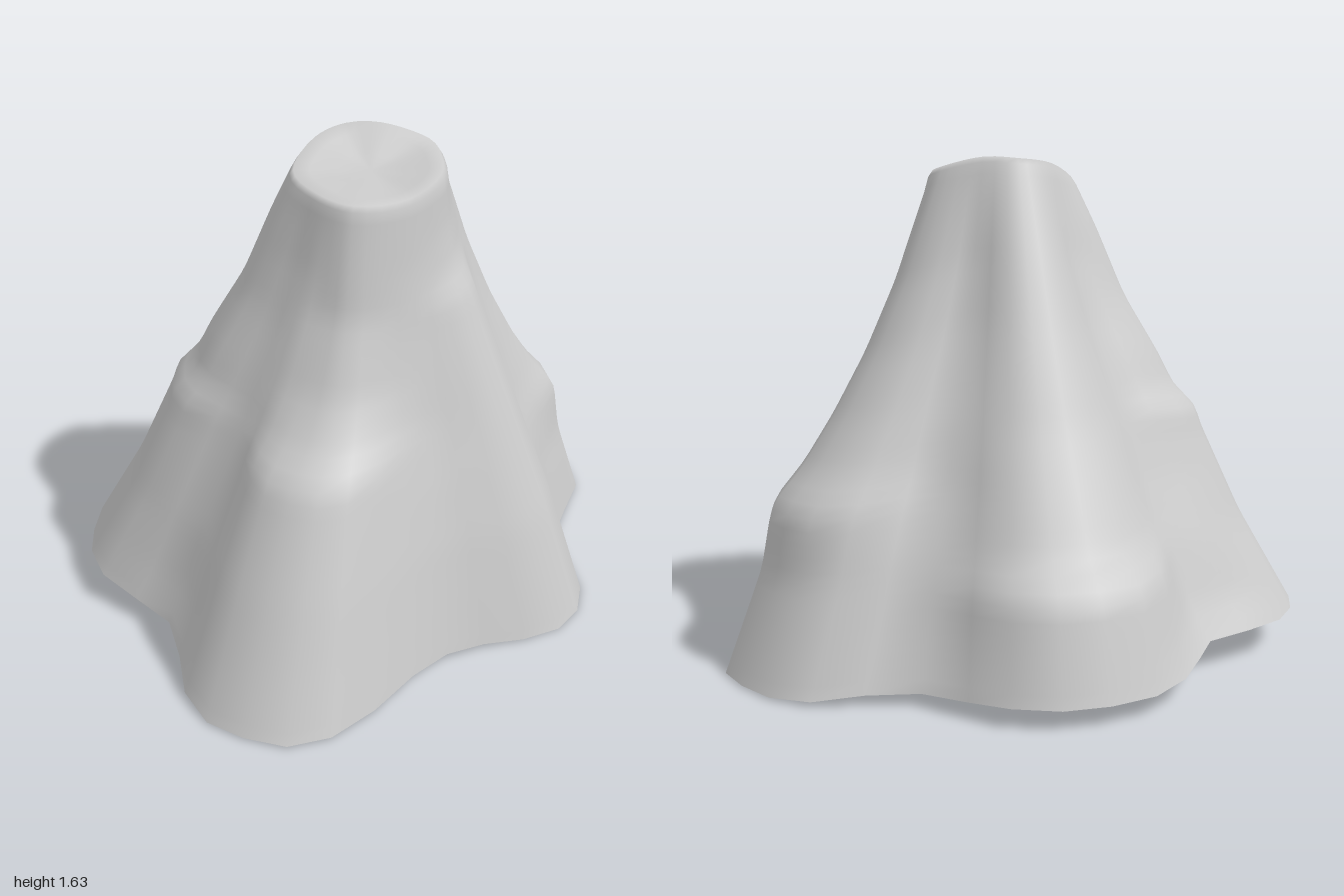
import * as THREE from 'three';

// Foot outline [x, z], clockwise from the back as seen from above
const FOOT = [
  [-0.18, -1], [-0.03, -0.99], [0.1, -0.92], [0.25, -0.83], [0.42, -0.835], [0.58, -0.86], [0.72, -0.8], [0.83, -0.7],
  [0.91, -0.59], [0.93, -0.45], [0.86, -0.28], [0.8, -0.12], [0.82, 0.04], [0.85, 0.2], [0.82, 0.33], [0.74, 0.43],
  [0.61, 0.49], [0.47, 0.53], [0.34, 0.59], [0.22, 0.69], [0.09, 0.84], [-0.05, 0.96], [-0.19, 1], [-0.33, 0.96],
  [-0.45, 0.89], [-0.53, 0.77], [-0.56, 0.62], [-0.61, 0.46], [-0.73, 0.36], [-0.86, 0.26], [-0.92, 0.13], [-0.93, 0],
  [-0.92, -0.14], [-0.87, -0.27], [-0.76, -0.36], [-0.63, -0.46], [-0.59, -0.6], [-0.54, -0.74], [-0.45, -0.86], [-0.32, -0.95],
];

// Gully profile: [y, share of the way from rim to foot]; high is the share near the rim
const gully = (y0, y1, high) => [
  [y0, 1], [0.2, 0.89], [0.4, 0.76], [0.6, 0.6], [0.8, 0.34 + high], [1.1, 0.12 + high], [1.3, high], [y1, 0]];

// Ridges and gullies in turn: index on the foot outline, rim point [x, z], profile
const KEYS = [
  { at: 0, rim: [0, -0.2], line: [[0.06, 1], [0.36, 0.89], [0.43, 0.775], [0.6, 0.65], [0.8, 0.5], [1.1, 0.31], [1.3, 0.19], [1.61, 0]] },
  { at: 3, rim: [0.12, -0.19], line: gully(0.04, 1.615, 0.14) },
  { at: 8, rim: [0.285, -0.13], line: [[0.005, 1], [0.33, 0.83], [0.53, 0.78], [0.64, 0.64], [0.8, 0.49], [1, 0.33], [1.23, 0.18], [1.58, 0]] },
  { at: 11, rim: [0.32, -0.02], line: gully(0.005, 1.565, 0.12) },
  { at: 14, rim: [0.31, 0.13], line: [[0, 1], [0.4, 0.75], [0.8, 0.46], [1.1, 0.24], [1.2, 0.17], [1.26, 0.09], [1.4, 0.03], [1.55, 0]] },
  { at: 18, rim: [0.2, 0.235], line: gully(0.025, 1.51, 0.08) },
  { at: 22, rim: [0.02, 0.29], line: [[0.005, 1], [0.2, 0.87], [0.4, 0.74], [0.73, 0.51], [0.8, 0.38], [0.93, 0.24], [1.17, 0.09], [1.51, 0]] },
  { at: 27, rim: [-0.105, 0.2], line: gully(0.06, 1.52, 0.1) },
  { at: 31, rim: [-0.18, 0.05], line: [[0.12, 1], [0.43, 0.76], [0.74, 0.57], [0.8, 0.55], [0.85, 0.46], [0.97, 0.38], [1.17, 0.22], [1.4, 0.09], [1.54, 0]] },
  { at: 35, rim: [-0.11, -0.1], line: gully(0.1, 1.595, 0.13) },
];
const ROWS = 40;
const CENTRE = [0.08, 1.55, 0.04];
const { lerp, smoothstep } = THREE.MathUtils;

// Share at height t (0 foot, 1 rim) along a profile
function shareAt(line, t) {
  const y = lerp(line[0][0], line[line.length - 1][0], t);
  for (let i = 1; i < line.length; i++) {
    const [ya, wa] = line[i - 1], [yb, wb] = line[i];
    if (y <= yb) return lerp(wa, wb, (y - ya) / (yb - ya));
  }
  return 0;
}

// Profile with its corners slightly rounded
function softShare(line, t) {
  const d = Math.min(0.02, t, 1 - t);
  return (shareAt(line, t - d) + 2 * shareAt(line, t) + shareAt(line, t + d)) / 4;
}

function createModel() {
  const group = new THREE.Group();
  const n = FOOT.length;
  const rimCurve = new THREE.CatmullRomCurve3(
    KEYS.map(({ rim, line }) => new THREE.Vector3(rim[0], line[line.length - 1][0], rim[1])), true);

  // The keys on either side of each column, with a blend that keeps the ridges broad
  const columns = FOOT.map((foot, i) => {
    let k = KEYS.length - 1;
    while (KEYS[k].at > i) k--;
    const a = KEYS[k], b = KEYS[(k + 1) % KEYS.length];
    const f = (i - a.at) / ((b.at || n) - a.at);
    const s = k % 2 ? smoothstep(f, 0, 0.65) : smoothstep(f, 0.35, 1);
    return { foot, a, b, s, rim: rimCurve.getPoint((k + f) / KEYS.length) };
  });

  const pos = [], index = [];
  // Slopes, foot to rim
  for (let r = 0; r <= ROWS; r++) {
    const t = r / ROWS;
    for (const { foot, a, b, s, rim } of columns) {
      const w = lerp(softShare(a.line, t), softShare(b.line, t), s);
      const y0 = lerp(a.line[0][0], b.line[0][0], s);
      pos.push(lerp(rim.x, foot[0], w), lerp(y0, rim.y, t), lerp(rim.z, foot[1], w));
    }
  }
  // Cap, from a raised soft rim to the shallow dip in the middle: [outward share, height share, lift]
  const capRings = [[0.95, 1, 0.018], [0.75, 0.75, 0.012], [0.4, 0.35, 0]];
  for (const [out, up, lift] of capRings) {
    for (const { rim } of columns) {
      pos.push(lerp(CENTRE[0], rim.x, out), lerp(CENTRE[1], rim.y, up) + lift, lerp(CENTRE[2], rim.z, out));
    }
  }
  const rings = ROWS + 1 + capRings.length;
  const tip = rings * n;
  pos.push(...CENTRE);

  for (let r = 0; r < rings; r++) {
    for (let i = 0; i < n; i++) {
      const a = r * n + i, b = r * n + (i + 1) % n;
      if (r === rings - 1) index.push(a, tip, b);
      else index.push(a, a + n, b, b, a + n, b + n);
    }
  }

  const geometry = new THREE.BufferGeometry();
  geometry.setAttribute('position', new THREE.Float32BufferAttribute(pos, 3));
  geometry.setIndex(index);
  geometry.computeVertexNormals();

  // Open-bottomed shell
  const shell = new THREE.Mesh(geometry, new THREE.MeshStandardMaterial({ color: 0xcccccc, side: THREE.DoubleSide }));
  shell.name = 'mountainShell';
  group.add(shell);
  group.name = 'mountain';
  return group;
}

export { createModel };
